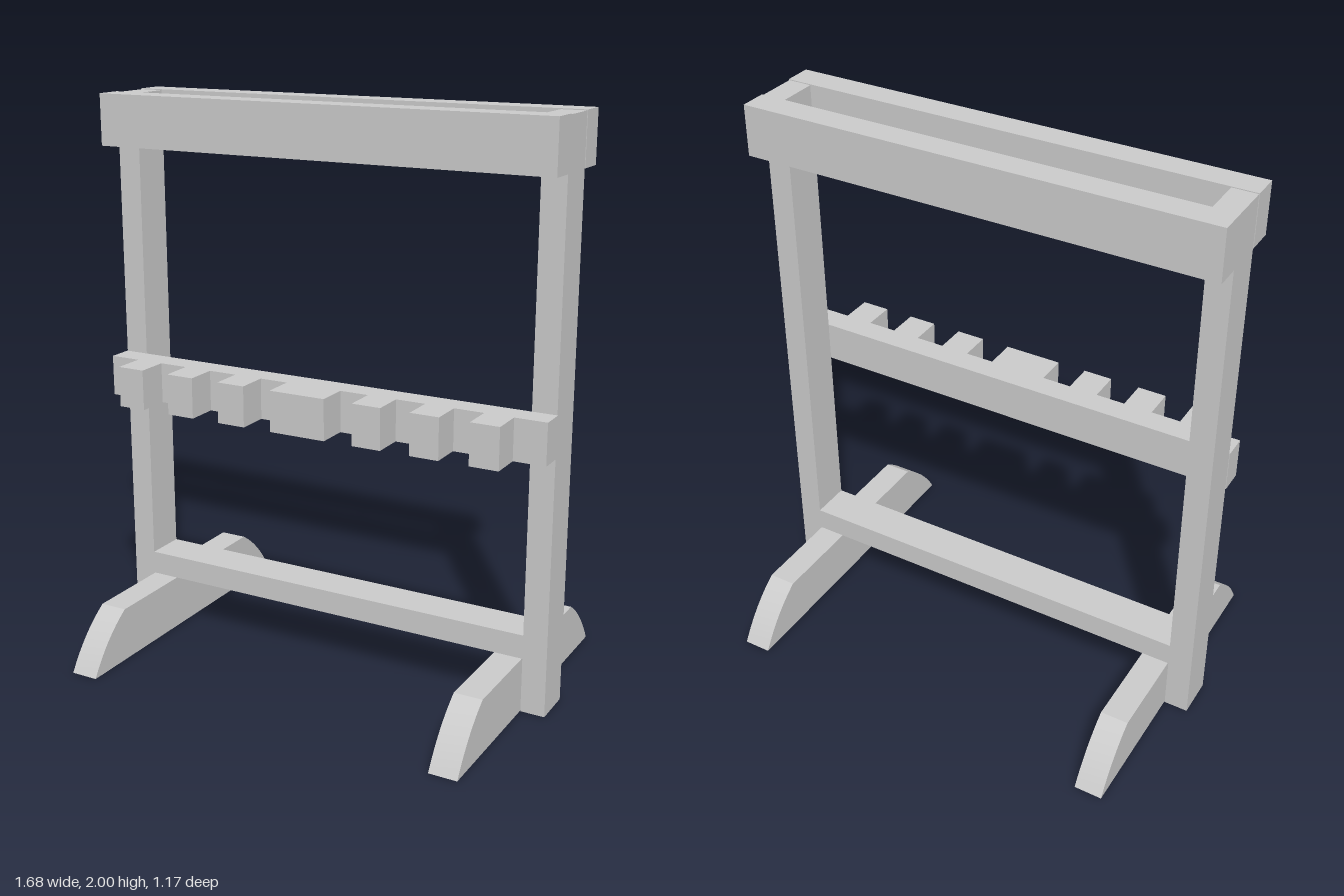
import * as THREE from 'three';
import { toCreasedNormals } from 'three/addons/utils/BufferGeometryUtils.js';

export function createModel() {
  const model = new THREE.Group();
  model.name = 'toolRack';
  const material = new THREE.MeshStandardMaterial({ color: 0xcccccc });

  const add = (name, geometry) => {
    const mesh = new THREE.Mesh(geometry, material);
    mesh.name = name;
    model.add(mesh);
    return mesh;
  };
  // Box given by its extents on each axis
  const box = (name, [x0, x1], [y0, y1], [z0, z1]) =>
    add(name, new THREE.BoxGeometry(x1 - x0, y1 - y0, z1 - z0))
      .position.set((x0 + x1) / 2, (y0 + y1) / 2, (z0 + z1) / 2);

  // Foot profile: flat top with bowed ends
  const profile = new THREE.Shape();
  profile.moveTo(-0.583, 0);
  profile.lineTo(0.583, 0);
  profile.quadraticCurveTo(0.51, 0.125, 0.4, 0.195);
  profile.lineTo(-0.4, 0.195);
  profile.quadraticCurveTo(-0.51, 0.125, -0.583, 0);
  const footGeometry = toCreasedNormals(
    new THREE.ExtrudeGeometry(profile, { depth: 0.1, bevelEnabled: false, curveSegments: 8 })
      .translate(0, 0, -0.05)
      .rotateY(-Math.PI / 2),
    0.35
  );

  // Uprights and feet, one pair per side
  for (const [side, s] of [['left', 1], ['right', -1]]) {
    box(side + 'Post', s > 0 ? [0.752, 0.838] : [-0.838, -0.752], [0, 1.997], [-0.073, 0.073]);
    add(side + 'Foot', footGeometry).position.x = s * 0.7;
  }

  // Low stretcher resting on the feet
  box('stretcher', [-0.752, 0.752], [0.195, 0.28], [-0.073, 0.073]);

  // Twin top rails clamping the posts
  box('frontTopRail', [-0.84, 0.84], [1.82, 2], [0.073, 0.17]);
  box('backTopRail', [-0.84, 0.84], [1.82, 2], [-0.17, -0.073]);

  // Notched rack: one outline with seven teeth, extruded upwards
  const teeth = [[-0.727, -0.625], [-0.52, -0.417], [-0.312, -0.208], [-0.104, 0.104],
    [0.208, 0.312], [0.417, 0.52], [0.625, 0.727]];
  const outline = new THREE.Shape();
  outline.moveTo(0.84, 0.073);
  outline.lineTo(0.84, 0.16);
  for (const [a, b] of [...teeth].reverse()) {
    outline.lineTo(b, 0.16);
    outline.lineTo(b, 0.273);
    outline.lineTo(a, 0.273);
    outline.lineTo(a, 0.16);
  }
  outline.lineTo(-0.84, 0.16);
  outline.lineTo(-0.84, 0.073);
  add('notchedRack', new THREE.ExtrudeGeometry(outline, { depth: 0.145, bevelEnabled: false })
    .rotateX(Math.PI / 2)).position.y = 1.06;

  return model;
}
